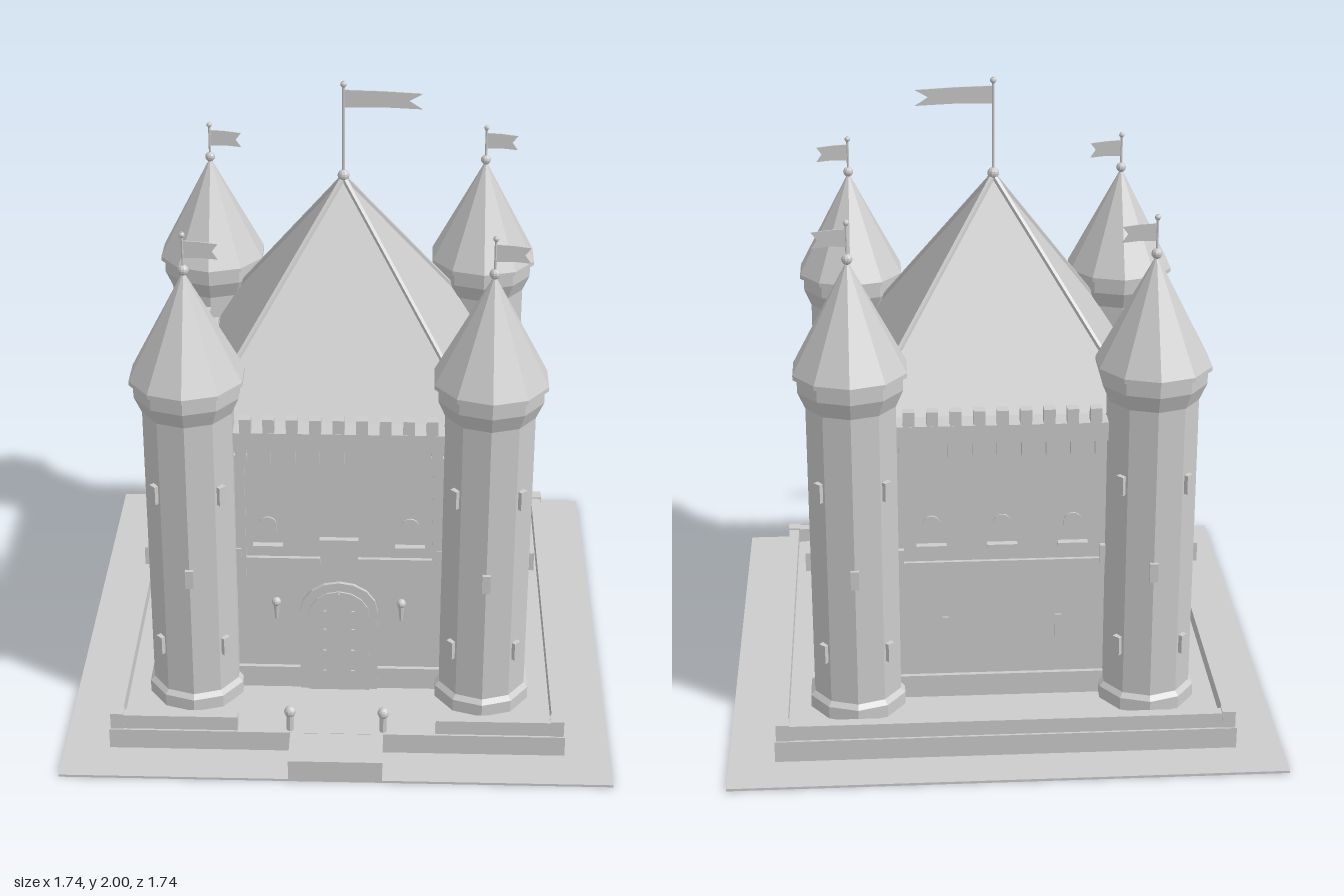
import * as THREE from 'three';

const stone = new THREE.MeshStandardMaterial({ color: 0xcccccc });
stone.name = 'pale stone';

// Adds a faceted mesh to a parent
function add(parent, name, geo, x = 0, y = 0, z = 0) {
  const g = geo.index ? geo.toNonIndexed() : geo;
  g.computeVertexNormals();
  const m = new THREE.Mesh(g, stone);
  m.name = name;
  m.position.set(x, y, z);
  parent.add(m);
  return m;
}
const box = (w, h, d) => new THREE.BoxGeometry(w, h, d);
// Box given by its lower and upper height
const block = (p, name, w, y0, y1, d, x = 0, z = 0) => add(p, name, box(w, y1 - y0, d), x, (y0 + y1) / 2, z);
const ball = r => new THREE.SphereGeometry(r, 10, 8);
const rod = (r, h) => new THREE.CylinderGeometry(r, r, h, 8);
function plate(points, depth) {
  const s = new THREE.Shape(points.map(p => new THREE.Vector2(p[0], p[1])));
  return new THREE.ExtrudeGeometry(s, { depth, bevelEnabled: false });
}
function group(parent, name) {
  const g = new THREE.Group();
  g.name = name;
  parent.add(g);
  return g;
}

// Pole with a swallow-tailed pennant flying toward +x
function flagpole(parent, y0, y1, r, len, tall) {
  const g = group(parent, 'flagpole');
  add(g, 'finial', ball(r * 4.2), 0, y0 + r * 2, 0);
  add(g, 'pole', rod(r, y1 - y0), 0, (y0 + y1) / 2, 0);
  add(g, 'poleKnob', ball(r * 2.3), 0, y1 - r * 2.3, 0);
  const top = y1 - tall * 0.5;
  add(g, 'pennant', plate([[0, -tall], [len * 0.5, -tall * 0.98], [len, -tall * 1.08], [len * 0.83, -tall * 0.6],
    [len, -tall * 0.18], [len * 0.5, -tall * 0.06], [0, 0]], 0.004), 0, top, -0.002);
}

// Ten-sided corner tower
function tower(parent, x, z) {
  const g = group(parent, 'tower');
  g.position.set(x, 0, z);
  const lathe = pts => new THREE.LatheGeometry(pts.map(p => new THREE.Vector2(p[0], p[1])), 10);
  add(g, 'towerShaft', lathe([[0.158, 0.075], [0.158, 0.12], [0.144, 0.135], [0.144, 1.11], [0.168, 1.165], [0.168, 1.222]]));
  add(g, 'towerRoof', lathe([[0, 1.208], [0.181, 1.208], [0.181, 1.222], [0, 1.565]]));
  // Arrow slits, staggered by height
  for (let i = 0; i < 8; i++) {
    const a = i * Math.PI / 4;
    for (const y of i % 2 ? [0.3, 0.855] : [0.575]) {
      const s = add(g, 'arrowSlit', box(0.026, 0.062, 0.024), Math.sin(a) * 0.142, y, Math.cos(a) * 0.142);
      s.rotation.y = a;
    }
  }
  flagpole(g, 1.56, 1.69, 0.004, 0.105, 0.055);
}

const FACE = 0.46; // distance of each wall face from the centre

function banner(g, x, w, y0, y1, forked) {
  const h = w / 2;
  const tip = forked ? [[-h, y0], [0, y0 + 0.03], [h, y0]] : [[-h, y0 + 0.035], [0, y0], [h, y0 + 0.035]];
  add(g, 'banner', plate([...tip, [h, y1], [-h, y1]], 0.008), x, 0, FACE + 0.004);
  add(g, 'bannerRod', box(w + 0.02, 0.012, 0.016), x, y1, FACE + 0.008);
}

// Round-headed outline
function arch(w, y0, spring, rise, n) {
  const pts = [[-w, y0], [w, y0]];
  for (let i = 0; i <= n; i++) {
    const a = Math.PI * i / n;
    pts.push([Math.cos(a) * w, spring + Math.sin(a) * rise]);
  }
  return pts;
}

function windowUnit(g, x) {
  const w = group(g, 'window');
  w.position.x = x;
  add(w, 'windowPane', plate(arch(0.028, 0.625, 0.69, 0.028, 8), 0.006), 0, 0, FACE);
  block(w, 'windowSill', 0.095, 0.61, 0.622, 0.03, 0, FACE + 0.008);
}

// One wall, built facing +z
function wall(parent, name, turn) {
  const g = group(parent, name);
  g.rotation.y = turn;
  block(g, 'wallFoot', 0.72, 0.075, 0.155, 0.02, 0, FACE + 0.004);
  block(g, 'parapet', 0.72, 0.975, 1.035, 0.06, 0, 0.466);
  for (let i = 0; i < 9; i++) block(g, 'merlon', 0.036, 1.03, 1.082, 0.035, (i - 4) * 0.072, 0.478);
  for (let i = 0; i < 9; i++) block(g, 'corbel', 0.034, 0.925, 0.976, 0.03, (i - 4) * 0.076, 0.474);
  return g;
}

function gatehouse(g) {
  // Arched door with a centre seam, studs and handles
  add(g, 'doorFrame', plate(arch(0.125, 0.075, 0.375, 0.11, 8), 0.012), 0, 0, FACE + 0.008);
  add(g, 'door', plate(arch(0.1, 0.075, 0.36, 0.095, 8), 0.006), 0, 0, FACE + 0.02);
  block(g, 'doorSeam', 0.006, 0.08, 0.45, 0.006, 0, FACE + 0.027);
  for (const s of [-1, 1]) {
    for (const y of [0.15, 0.23, 0.31, 0.38]) add(g, 'doorStud', box(0.01, 0.01, 0.008), s * 0.045, y, FACE + 0.028);
    // Wall torch
    add(g, 'torchBracket', box(0.012, 0.012, 0.035), s * 0.2, 0.39, FACE + 0.015);
    add(g, 'torchHandle', new THREE.CylinderGeometry(0.01, 0.005, 0.06, 8), s * 0.2, 0.385, FACE + 0.028);
    add(g, 'torchFlame', ball(0.015), s * 0.2, 0.418, FACE + 0.028);
    block(g, 'stringCourse', 0.27, 0.545, 0.572, 0.018, s * 0.195, FACE + 0.004);
    banner(g, s * 0.328, 0.066, 0.465, 0.94, false);
    windowUnit(g, s * 0.225);
  }
  add(g, 'shield', plate([[0, 0.525], [0.045, 0.55], [0.062, 0.59], [0.062, 0.645], [-0.062, 0.645], [-0.062, 0.59], [-0.045, 0.55]],
    0.02), 0, 0, FACE);
}

export function createModel() {
  const model = new THREE.Group();
  model.name = 'castle';

  // Ground, terrace and approach
  const base = group(model, 'terrace');
  block(base, 'ground', 1.74, 0, 0.008, 1.74);
  block(base, 'platform', 1.45, 0.004, 0.078, 1.45);
  block(base, 'entranceRamp', 0.295, 0.004, 0.077, 0.15, 0, 0.795);
  // Low boundary wall, open at the entrance
  block(base, 'lowWall', 1.42, 0.075, 0.128, 0.035, 0, -0.7);
  for (const s of [-1, 1]) {
    block(base, 'lowWall', 0.035, 0.075, 0.128, 1.42, s * 0.7, 0);
    block(base, 'lowWall', 0.37, 0.075, 0.128, 0.035, s * 0.5, 0.7);
    for (const t of [-1, 1]) block(base, 'cornerPost', 0.042, 0.075, 0.134, 0.042, s * 0.699, t * 0.699);
    add(base, 'entrancePost', rod(0.012, 0.065), s * 0.148, 0.108, 0.705);
    add(base, 'entrancePostBall', ball(0.019), s * 0.148, 0.147, 0.705);
  }

  // Keep and its four walls
  const keep = group(model, 'keep');
  block(keep, 'keepBody', FACE * 2, 0.075, 1.02, FACE * 2);
  gatehouse(wall(keep, 'frontWall', 0));
  for (const s of [-1, 1]) {
    const side = wall(keep, s > 0 ? 'leftWall' : 'rightWall', s * Math.PI / 2);
    block(side, 'stringCourse', 0.7, 0.54, 0.56, 0.018, 0, FACE + 0.003);
    banner(side, 0, 0.09, 0.465, 0.962, false);
    for (const t of [-1, 1]) {
      banner(side, t * 0.268, 0.066, 0.727, 0.945, true);
      windowUnit(side, t * 0.222);
      block(side, 'wallSlit', 0.02, 0.28, 0.36, 0.008, t * 0.18, FACE + 0.002);
    }
  }
  const back = wall(keep, 'backWall', Math.PI);
  block(back, 'stringCourse', 0.7, 0.54, 0.56, 0.018, 0, FACE + 0.003);
  for (const x of [-0.222, 0, 0.222]) windowUnit(back, x);
  for (const x of [-0.18, 0.18]) block(back, 'wallSlit', 0.02, 0.28, 0.36, 0.008, x, FACE + 0.002);

  // Pyramid roof with rounded hips and the tall flag
  const roof = group(model, 'keepRoof');
  const pyramid = new THREE.ConeGeometry(0.43 * Math.SQRT2, 0.645, 4);
  pyramid.rotateY(Math.PI / 4);
  add(roof, 'roofSlopes', pyramid, 0, 1.04 + 0.3225, 0);
  const apex = new THREE.Vector3(0, 1.685, 0);
  for (const x of [-0.43, 0.43]) for (const z of [-0.43, 0.43]) {
    const hip = new THREE.LineCurve3(new THREE.Vector3(x, 1.04, z), apex);
    add(roof, 'hipRib', new THREE.TubeGeometry(hip, 1, 0.01, 6));
  }
  flagpole(roof, 1.682, 2, 0.0045, 0.245, 0.056);

  for (const x of [-0.463, 0.463]) for (const z of [-0.463, 0.463]) tower(model, x, z);
  return model;
}
